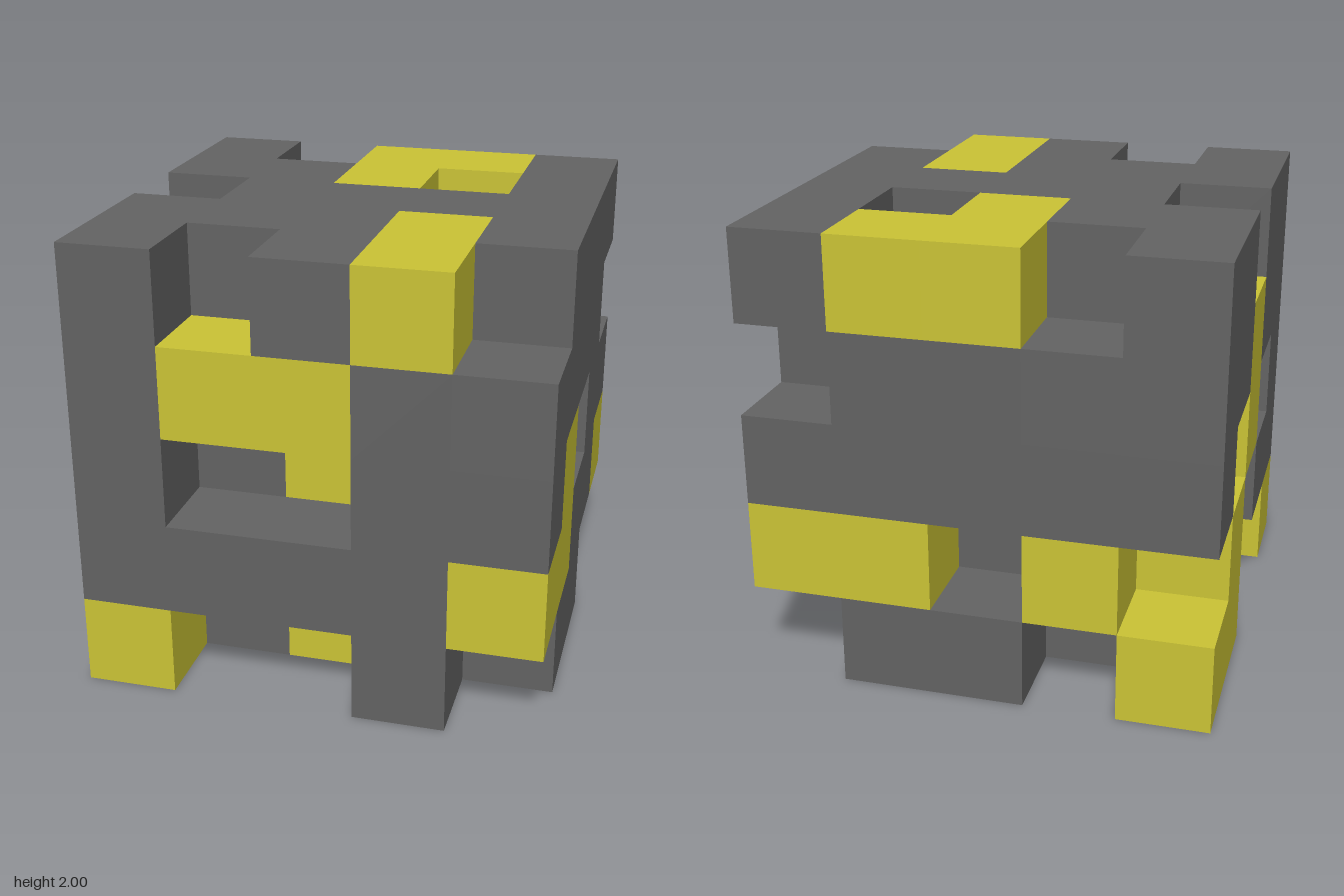
import * as THREE from 'three';
import { mergeGeometries } from 'three/addons/utils/BufferGeometryUtils.js';

const CELL = 0.4;
const N = 5;

// Levels from bottom to top; each string is a row from back to front,
// each letter a cell from -x to +x: G grey, Y yellow, . empty
const LEVELS = [
  ['Y.GG.', 'YGGG.', '.GGGG', '.GYGG', 'Y..G.'],
  ['.Y.YY', 'YGGGG', '.GGGG', 'GGGGY', 'GGGGY'],
  ['GGGGG', '.GGGG', 'YGGG.', '.GYGY', 'G..GG'],
  ['GGGG.', 'GGGGG', 'YGGGG', 'GGGGG', 'GYYGG'],
  ['G.YYG', 'GGY.G', '.GGGG', 'GGGYG', 'G.GY.'],
];

// Outward direction of each cube side and the turn that aims a plane there
const SIDES = [
  { dir: [1, 0, 0], turn: [0, Math.PI / 2, 0] },
  { dir: [-1, 0, 0], turn: [0, -Math.PI / 2, 0] },
  { dir: [0, 1, 0], turn: [-Math.PI / 2, 0, 0] },
  { dir: [0, -1, 0], turn: [Math.PI / 2, 0, 0] },
  { dir: [0, 0, 1], turn: [0, 0, 0] },
  { dir: [0, 0, -1], turn: [0, Math.PI, 0] },
];

const cellAt = (x, y, z) => LEVELS[y]?.[z]?.[x] ?? '.';

// One square on the given side of a cell
function sideFace(x, y, z, { dir, turn }) {
  const face = new THREE.PlaneGeometry(CELL, CELL);
  face.rotateX(turn[0]).rotateY(turn[1]);
  const half = CELL / 2;
  return face.translate(
    (x - (N - 1) / 2) * CELL + dir[0] * half,
    (y + 0.5) * CELL + dir[1] * half,
    (z - (N - 1) / 2) * CELL + dir[2] * half
  );
}

// All exposed faces of one colour on one level
function levelGeometry(y, letter) {
  const faces = [];
  for (let z = 0; z < N; z++) {
    for (let x = 0; x < N; x++) {
      if (cellAt(x, y, z) !== letter) continue;
      for (const side of SIDES) {
        const [dx, dy, dz] = side.dir;
        if (cellAt(x + dx, y + dy, z + dz) === '.') faces.push(sideFace(x, y, z, side));
      }
    }
  }
  return faces.length ? mergeGeometries(faces) : null;
}

export function createModel() {
  const grey = new THREE.MeshStandardMaterial({ color: 0x636363 });
  grey.name = 'grey';
  const yellow = new THREE.MeshStandardMaterial({ color: 0xcbc435 });
  yellow.name = 'yellow';

  const model = new THREE.Group();
  model.name = 'blockCube';

  // Five stacked levels, each with its grey and yellow blocks
  for (let y = 0; y < N; y++) {
    const level = new THREE.Group();
    level.name = `level${y + 1}`;
    for (const [letter, material] of [['G', grey], ['Y', yellow]]) {
      const geometry = levelGeometry(y, letter);
      if (!geometry) continue;
      const mesh = new THREE.Mesh(geometry, material);
      mesh.name = `${material.name}Blocks`;
      level.add(mesh);
    }
    model.add(level);
  }
  return model;
}
